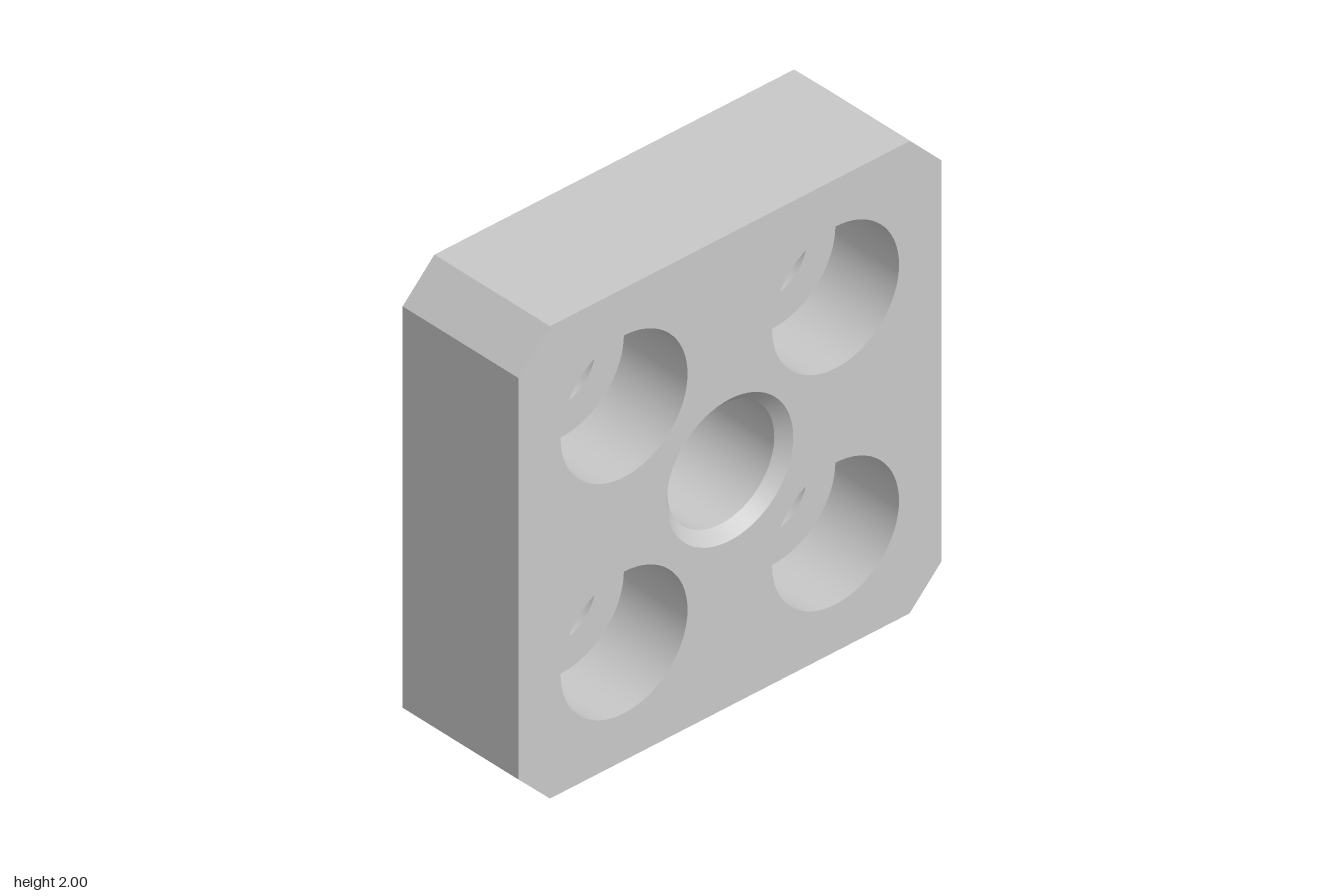
import * as THREE from 'three';

const HALF = 1, CUT = 0.15, FRONT = 0.3, BACK = -0.3; // plate outline and thickness
const BOLT = 0.5, HEAD_R = 0.3, BOLT_R = 0.165, FLOOR = -0.03; // counterbored holes
const RIM_R = 0.3, BORE_R = 0.253, CHAMFER = 0.047; // centre bore
const SEGMENTS = 64;
const boltCentres = [[-BOLT, BOLT], [BOLT, BOLT], [-BOLT, -BOLT], [BOLT, -BOLT]];

export function createModel() {
  const model = new THREE.Group();
  const steel = new THREE.MeshStandardMaterial({ color: 0xc8c8c8 });
  steel.name = 'steel grey';

  const add = (name, geometry, parent = model) => {
    const mesh = new THREE.Mesh(geometry, steel);
    mesh.name = name;
    parent.add(mesh);
    return mesh;
  };

  // Square outline with clipped corners, counter-clockwise
  const c = HALF - CUT;
  const outline = [[HALF, -c], [HALF, c], [c, HALF], [-c, HALF],
    [-HALF, c], [-HALF, -c], [-c, -HALF], [c, -HALF]].map(p => new THREE.Vector2(...p));

  // Flat face pierced by the bolt holes and the centre bore
  const faceGeometry = boltRadius => {
    const shape = new THREE.Shape(outline);
    for (const [x, y, r] of [...boltCentres.map(p => [...p, boltRadius]), [0, 0, RIM_R]]) {
      shape.holes.push(new THREE.Path().absarc(x, y, r, 0, Math.PI * 2, true));
    }
    return new THREE.ShapeGeometry(shape, SEGMENTS / 2);
  };
  add('frontFace', faceGeometry(HEAD_R).translate(0, 0, FRONT));
  add('backFace', faceGeometry(BOLT_R).rotateY(Math.PI).translate(0, 0, BACK));

  // Outer edge walls, one flat quad per outline side
  const positions = [];
  outline.forEach((a, i) => {
    const b = outline[(i + 1) % outline.length];
    positions.push(a.x, a.y, FRONT, a.x, a.y, BACK, b.x, b.y, BACK,
      a.x, a.y, FRONT, b.x, b.y, BACK, b.x, b.y, FRONT);
  });
  const walls = new THREE.BufferGeometry();
  walls.setAttribute('position', new THREE.Float32BufferAttribute(positions, 3));
  walls.computeVertexNormals();
  add('edgeWalls', walls);

  // Inward-facing ring from (radius r1, z1) back to (radius r2, z2)
  const ring = (r1, z1, r2, z2) => new THREE.LatheGeometry(
    [new THREE.Vector2(r1, z1), new THREE.Vector2(r2, z2)], SEGMENTS).rotateX(Math.PI / 2);

  // Four counterbored bolt holes
  const headWall = ring(HEAD_R, FRONT, HEAD_R, FLOOR);
  const headFloor = ring(HEAD_R, FLOOR, BOLT_R, FLOOR);
  const shankWall = ring(BOLT_R, FLOOR, BOLT_R, BACK);
  for (const [x, y] of boltCentres) {
    const hole = new THREE.Group();
    hole.name = 'boltHole';
    hole.position.set(x, y, 0);
    add('counterboreWall', headWall, hole);
    add('counterboreFloor', headFloor, hole);
    add('shankWall', shankWall, hole);
    model.add(hole);
  }

  // Centre bore, chamfered at both ends
  add('boreFrontChamfer', ring(RIM_R, FRONT, BORE_R, FRONT - CHAMFER));
  add('boreWall', ring(BORE_R, FRONT - CHAMFER, BORE_R, BACK + CHAMFER));
  add('boreBackChamfer', ring(BORE_R, BACK + CHAMFER, RIM_R, BACK));

  // Stand the plate on the ground
  for (const part of model.children) part.position.y += HALF;
  return model;
}
